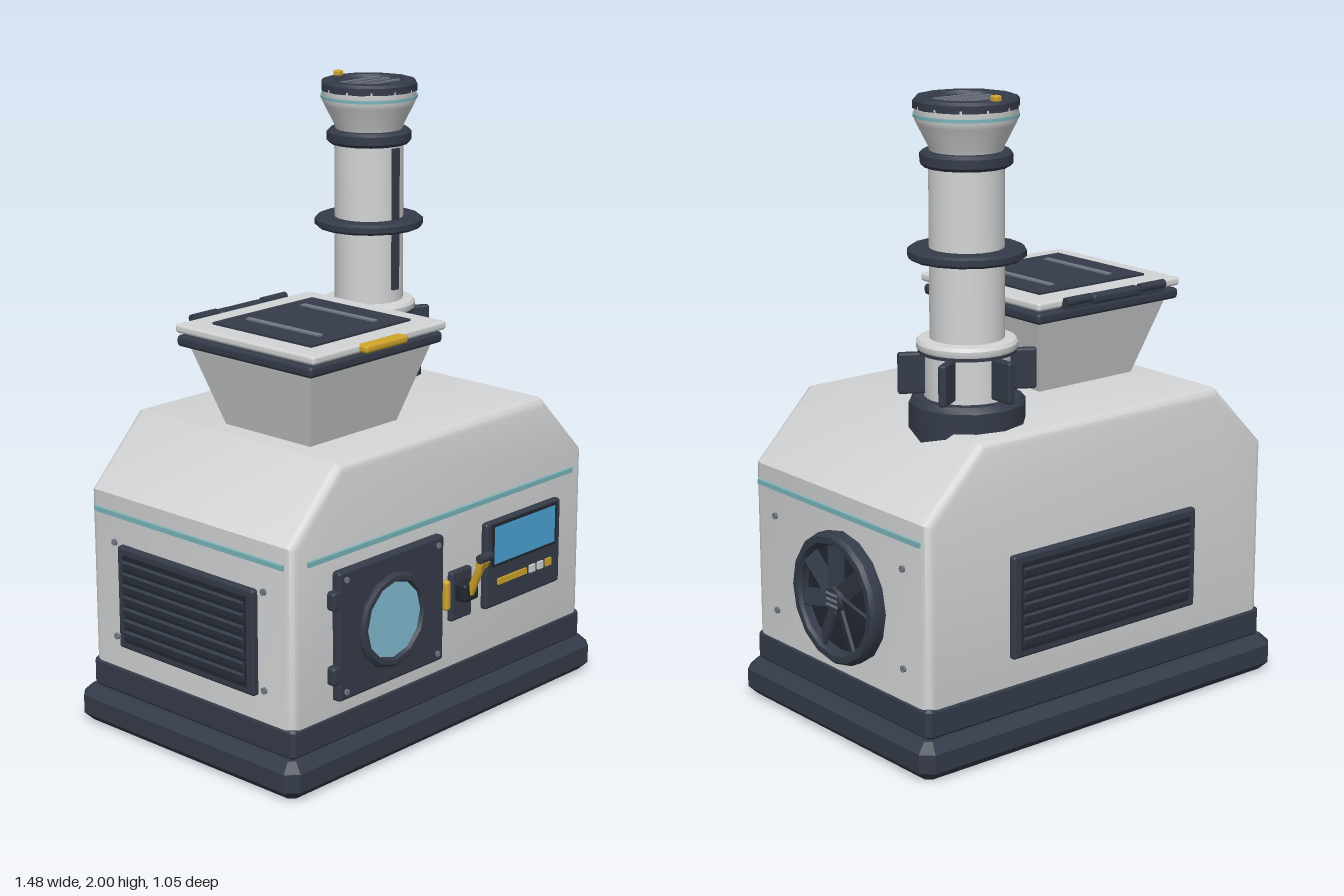
import * as THREE from 'three';
import { toCreasedNormals } from 'three/addons/utils/BufferGeometryUtils.js';
import { RoundedBoxGeometry } from 'three/addons/geometries/RoundedBoxGeometry.js';

const paint = (name, color) => {
  const m = new THREE.MeshStandardMaterial({ color });
  m.name = name;
  return m;
};
const M = {
  shell: paint('light shell', 0xd3d4d5),
  dark: paint('slate', 0x343b49),
  deep: paint('deep slate', 0x222730),
  teal: paint('teal trim', 0x7ab5ba),
  glass: paint('window glass', 0x83bdd2),
  screen: paint('screen blue', 0x4ba3d6),
  gold: paint('gold', 0xcfa42a),
  steel: paint('steel', 0x737985),
};

function add(parent, name, geo, mat, x = 0, y = 0, z = 0) {
  const m = new THREE.Mesh(geo, mat);
  m.name = name;
  m.position.set(x, y, z);
  parent.add(m);
  return m;
}
const box = (p, name, mat, w, h, d, x, y, z) => add(p, name, new THREE.BoxGeometry(w, h, d), mat, x, y, z);
const soft = (p, name, mat, w, h, d, x, y, z, r = 0.01) =>
  add(p, name, new RoundedBoxGeometry(w, h, d, 2, r), mat, x, y, z);

function group(parent, name, x = 0, y = 0, z = 0, turn = 0) {
  const g = new THREE.Group();
  g.name = name;
  g.position.set(x, y, z);
  g.rotation.y = turn;
  parent.add(g);
  return g;
}
// Turned part about y from [radius, height] pairs, listed bottom to top
const lathe = (pts, n) =>
  toCreasedNormals(new THREE.LatheGeometry(pts.map(([r, y]) => new THREE.Vector2(r, y)), n), 0.6);

// Slab with cut corners and chamfered top and bottom edges
function slab(w, h, d, c) {
  const a = w / 2 - c, b = d / 2 - c, k = c * 0.6;
  const s = new THREE.Shape([[a, -b + k], [a, b - k], [a - k, b], [-a + k, b], [-a, b - k], [-a, -b + k], [-a + k, -b], [a - k, -b]]
    .map(([x, y]) => new THREE.Vector2(x, y)));
  return new THREE.ExtrudeGeometry(s, { depth: h - 2 * c, bevelSize: c, bevelThickness: c, bevelSegments: 1 })
    .translate(0, 0, c).rotateX(-Math.PI / 2);
}

// Louvred panel facing +z
function vent(parent, name, w, h, x, y, z, turn) {
  const g = group(parent, name, x, y, z, turn);
  soft(g, 'ventFrame', M.dark, w, h, 0.03, 0, 0, 0);
  box(g, 'ventRecess', M.deep, w - 0.06, h - 0.05, 0.006, 0, 0, 0.015);
  for (let i = 0; i < 7; i++) {
    const s = box(g, 'louvre', M.dark, w - 0.07, 0.024, 0.012, 0, (i - 3) * (h - 0.07) / 7, 0.02);
    s.rotation.x = 0.35;
  }
}

function buildBody(root) {
  add(root, 'base', slab(1.478, 0.12, 0.968, 0.03), M.dark, -0.005, 0, -0.04);
  add(root, 'plinth', slab(1.4, 0.1, 0.895, 0.012), M.dark, -0.005, 0.117, -0.038);

  // Housing with sloped shoulders and softened edges
  const b = 0.03, hw = 0.695 - b, top = 1 - b, sh = 0.785 - b * 0.4, tx = 0.485 - b * 0.4;
  const s = new THREE.Shape([[-hw, 0.2], [hw, 0.2], [hw, sh], [tx, top], [-tx, top], [-hw, sh]]
    .map(([x, y]) => new THREE.Vector2(x, y)));
  const geo = new THREE.ExtrudeGeometry(s, { depth: 0.885 - 2 * b, bevelSize: b, bevelThickness: b, bevelSegments: 3 });
  add(root, 'housing', toCreasedNormals(geo, 0.6), M.shell, -0.005, 0, -0.48 + b);

  // Teal trim lines
  box(root, 'frontTrim', M.teal, 1.26, 0.016, 0.014, -0.005, 0.725, 0.407);
  for (const s of [-1, 1]) {
    box(root, 'sideTrim', M.teal, 0.014, 0.016, 0.825, -0.005 + s * 0.697, 0.725, -0.038);
    for (const y of [0.315, 0.63]) for (const z of [0.29, -0.365]) {
      const r = add(root, 'rivet', new THREE.CylinderGeometry(0.011, 0.011, 0.012, 8), M.steel, -0.005 + s * 0.697, y, z);
      r.rotation.z = Math.PI / 2;
    }
  }
  vent(root, 'backVent', 0.76, 0.33, -0.005, 0.465, -0.485, Math.PI);
  vent(root, 'sideVent', 0.6, 0.34, -0.705, 0.46, -0.038, -Math.PI / 2);
}

function buildFan(root) {
  const g = group(root, 'fan', 0.685, 0.46, -0.068, Math.PI / 2);
  const ring = lathe([[0.21, 0], [0.21, 0.042], [0.2, 0.055], [0.18, 0.055], [0.172, 0.045], [0.172, 0.01]], 16).rotateX(Math.PI / 2);
  add(g, 'fanRing', ring, M.dark);
  const disc = new THREE.CylinderGeometry(0.18, 0.18, 0.015, 16).rotateX(Math.PI / 2);
  add(g, 'fanRecess', disc, M.deep, 0, 0, 0.01);
  for (let i = 0; i < 7; i++) {
    const arm = group(g, 'fanBladeArm');
    arm.rotation.z = i * Math.PI * 2 / 7;
    const blade = box(arm, 'fanBlade', M.dark, 0.055, 0.13, 0.01, 0, 0.105, 0.032);
    blade.rotation.y = 0.4;
  }
  add(g, 'fanHub', new THREE.CylinderGeometry(0.04, 0.048, 0.04, 8).rotateX(Math.PI / 2), M.dark, 0, 0, 0.032);
  for (const y of [-0.018, 0, 0.018]) box(g, 'hubSlat', M.steel, 0.055, 0.007, 0.006, 0, y, 0.052);
}

function buildFront(root) {
  // Door with round window
  const door = group(root, 'door', -0.285, 0.467, 0.405);
  soft(door, 'doorPanel', M.dark, 0.48, 0.415, 0.05, 0, 0, 0.003);
  const rim = lathe([[0.155, 0], [0.155, 0.01], [0.145, 0.018], [0.13, 0.018], [0.122, 0.004]], 12).rotateX(Math.PI / 2);
  add(door, 'windowRim', rim, M.dark, 0, -0.004, 0.025);
  add(door, 'windowGlass', new THREE.CircleGeometry(0.126, 12).rotateZ(Math.PI / 2), M.glass, 0, -0.004, 0.031);
  for (const x of [-0.21, 0.21]) for (const y of [-0.18, 0.18])
    add(door, 'doorScrew', new THREE.CylinderGeometry(0.01, 0.01, 0.006, 8).rotateX(Math.PI / 2), M.steel, x, y, 0.03);
  for (const y of [-0.12, 0.12]) soft(door, 'doorHinge', M.dark, 0.035, 0.06, 0.035, -0.247, y, 0.01);
  soft(door, 'doorHandle', M.gold, 0.024, 0.1, 0.03, 0.262, -0.002, 0.016);

  // Lever
  const lever = group(root, 'lever', 0.055, 0.46, 0.41);
  soft(lever, 'leverPlate', M.dark, 0.1, 0.165, 0.026, 0, -0.012, 0, 0.008);
  soft(lever, 'leverPivot', M.deep, 0.07, 0.06, 0.05, 0, 0.005, 0.03);
  const arm = group(lever, 'leverArm', 0, 0, 0.045);
  arm.rotation.x = 0.42;
  add(arm, 'leverRod', new THREE.CylinderGeometry(0.013, 0.015, 0.13, 8), M.gold, 0, 0.065, 0);
  add(arm, 'leverGrip', new THREE.CylinderGeometry(0.015, 0.015, 0.055, 8).rotateZ(Math.PI / 2), M.dark, 0, 0.145, 0);
  box(arm, 'leverGripBand', M.gold, 0.034, 0.026, 0.026, 0, 0.122, 0);

  // Control panel
  const panel = group(root, 'controlPanel', 0.36, 0.505, 0.405);
  soft(panel, 'panelPlate', M.dark, 0.38, 0.29, 0.044, 0, 0, 0);
  box(panel, 'screenBorder', M.deep, 0.33, 0.145, 0.004, 0, 0.066, 0.023);
  box(panel, 'screen', M.screen, 0.308, 0.125, 0.006, 0, 0.066, 0.024);
  box(panel, 'slider', M.gold, 0.145, 0.02, 0.008, -0.063, -0.06, 0.025);
  [M.shell, M.shell, M.gold].forEach((m, i) =>
    box(panel, 'button', m, 0.027, 0.025, 0.009, 0.04 + i * 0.042, -0.06, 0.025));
}

function buildHopper(root) {
  const g = group(root, 'hopper', -0.225, 0, 0.035);
  // Bin flaring from bottom to top
  const bin = new THREE.BoxGeometry(1, 0.28, 1), p = bin.attributes.position;
  for (let i = 0; i < p.count; i++) {
    const up = p.getY(i) > 0;
    p.setX(i, p.getX(i) * (up ? 0.55 : 0.38));
    p.setZ(i, p.getZ(i) * (up ? 0.52 : 0.35));
  }
  bin.computeVertexNormals();
  add(g, 'hopperBin', bin, M.shell, 0, 1.12, 0);
  soft(g, 'hopperRim', M.dark, 0.595, 0.036, 0.575, 0, 1.268, -0.005, 0.012);
  box(g, 'lidSeal', M.deep, 0.54, 0.02, 0.52, 0, 1.288, 0);
  soft(g, 'lid', M.shell, 0.6, 0.028, 0.59, 0, 1.307, 0);
  box(g, 'lidPanel', M.dark, 0.445, 0.012, 0.42, -0.003, 1.322, 0.005);
  for (const x of [-0.125, 0.12]) box(g, 'lidRib', M.steel, 0.02, 0.008, 0.31, x, 1.329, 0.005);
  soft(g, 'lidHandle', M.gold, 0.19, 0.026, 0.045, -0.005, 1.308, 0.302);
  for (const x of [-0.155, 0.155])
    add(g, 'lidHinge', new THREE.CylinderGeometry(0.015, 0.015, 0.105, 8).rotateZ(Math.PI / 2), M.dark, x, 1.316, -0.315);
  soft(g, 'lidHingeCentre', M.dark, 0.2, 0.03, 0.04, 0, 1.31, -0.31);
  box(g, 'hingeStrip', M.dark, 0.41, 0.02, 0.04, 0, 1.3, -0.3);
}

function buildStack(root) {
  const g = group(root, 'stack', 0.342, 0, -0.24);
  const turned = (name, mat, pts, n = 24) => add(g, name, lathe(pts, n), mat);
  turned('stackCollar', M.dark, [[0.18, 0.86], [0.18, 1.06], [0.165, 1.078], [0.1, 1.078]], 12);
  turned('stackFoot', M.shell, [[0.132, 1.07], [0.132, 1.225], [0.152, 1.225], [0.155, 1.232], [0.155, 1.245], [0.148, 1.255], [0.11, 1.258]]);
  turned('stackFootBand', M.dark, [[0.13, 1.214], [0.15, 1.214], [0.15, 1.226], [0.13, 1.226]]);
  for (let i = 0; i < 6; i++) {
    const arm = group(g, 'finArm', 0, 0, 0, i * Math.PI / 3);
    soft(arm, 'stackFin', M.dark, 0.026, 0.128, 0.09, 0, 1.152, 0.167, 0.008);
  }
  turned('stackPipe', M.shell, [[0.114, 1.2], [0.114, 1.8]]);
  box(g, 'pipeStrip', M.dark, 0.028, 0.47, 0.02, 0, 1.535, 0.113);
  turned('middleRing', M.dark, [[0.11, 1.5], [0.17, 1.5], [0.18, 1.508], [0.18, 1.526], [0.17, 1.534], [0.11, 1.534]], 16);
  turned('upperRing', M.dark, [[0.1, 1.778], [0.13, 1.778], [0.14, 1.788], [0.14, 1.815], [0.13, 1.825], [0.1, 1.825]], 16);
  turned('stackMouth', M.shell, [[0.108, 1.82], [0.115, 1.84], [0.148, 1.905], [0.155, 1.92], [0.155, 1.96]]);
  turned('mouthTrim', M.teal, [[0.15, 1.926], [0.159, 1.926], [0.159, 1.936], [0.15, 1.936]]);
  turned('stackCap', M.dark, [[0.14, 1.952], [0.16, 1.952], [0.16, 1.975], [0.152, 1.984], [0.115, 1.984], [0.108, 1.974], [0, 1.974]], 12);
  for (const z of [-0.045, 0, 0.045]) box(g, 'capSlat', M.steel, 0.19, 0.008, 0.01, 0, 1.976, z);
  soft(g, 'capLatch', M.gold, 0.026, 0.025, 0.026, 0, 1.988, -0.137, 0.006);
}

export function createModel() {
  const root = new THREE.Group();
  root.name = 'machine';
  buildBody(root);
  buildFan(root);
  buildFront(root);
  buildHopper(root);
  buildStack(root);
  return root;
}
